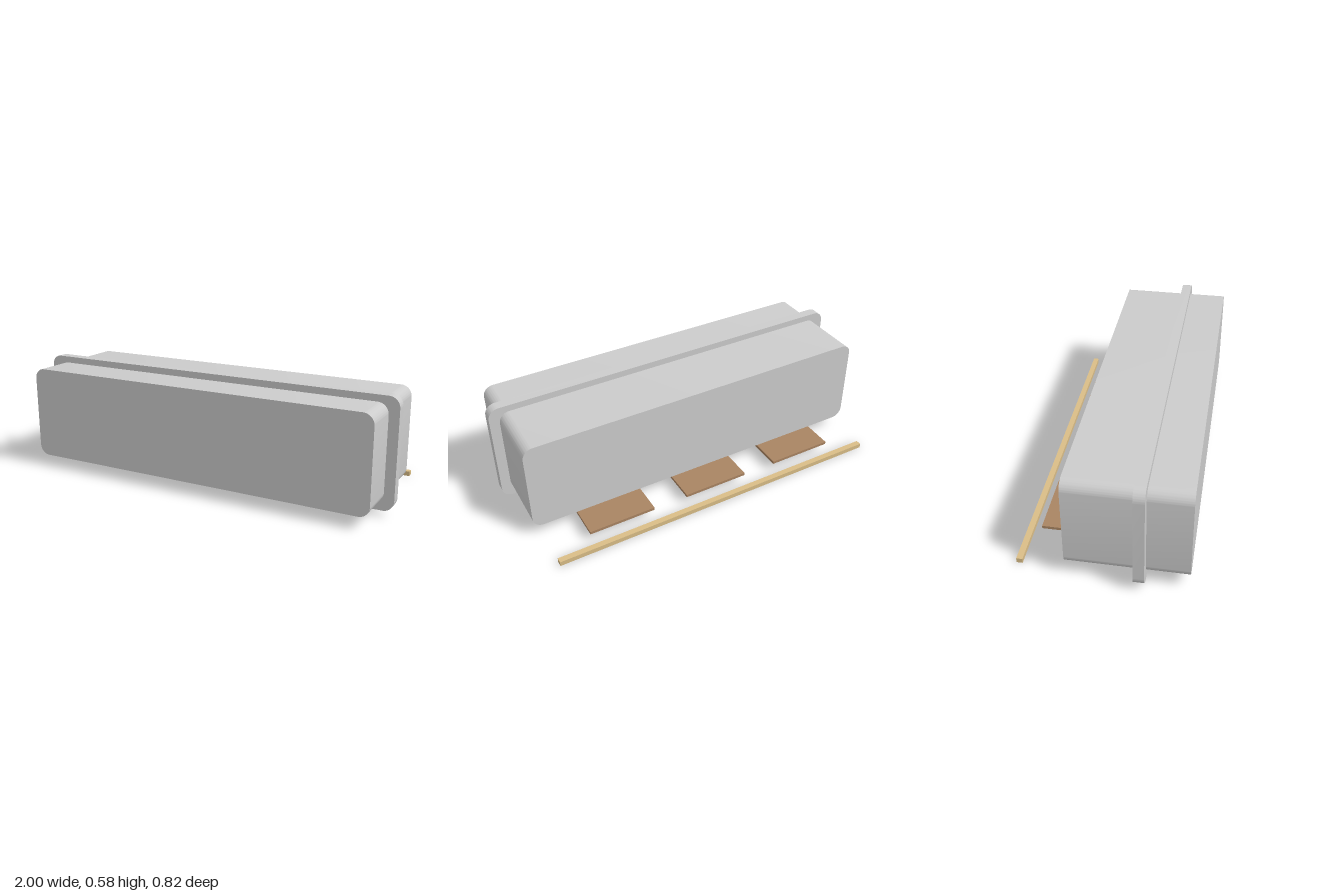
import * as THREE from 'three';
import { toCreasedNormals } from 'three/addons/utils/BufferGeometryUtils.js';

const grey = new THREE.MeshStandardMaterial({ color: 0xcccccc });
const brown = new THREE.MeshStandardMaterial({ color: 0xa98462 });
const tan = new THREE.MeshStandardMaterial({ color: 0xd9bd87 });

// Slab with rounded corners in the xy plane, extruded from z0 to z1
function roundedSlab(name, halfWidth, y0, y1, z0, z1, r) {
  const w = halfWidth;
  const s = new THREE.Shape();
  s.absarc(w - r, y0 + r, r, -Math.PI / 2, 0);
  s.absarc(w - r, y1 - r, r, 0, Math.PI / 2);
  s.absarc(-w + r, y1 - r, r, Math.PI / 2, Math.PI);
  s.absarc(-w + r, y0 + r, r, Math.PI, Math.PI * 1.5);
  const geo = new THREE.ExtrudeGeometry(s, { depth: z1 - z0, bevelEnabled: false, curveSegments: 8 });
  geo.translate(0, 0, z0);
  const mesh = new THREE.Mesh(toCreasedNormals(geo, 0.6), grey);
  mesh.name = name;
  return mesh;
}

// Plain box given by its extents
function box(name, material, x0, x1, y0, y1, z0, z1) {
  const mesh = new THREE.Mesh(new THREE.BoxGeometry(x1 - x0, y1 - y0, z1 - z0), material);
  mesh.position.set((x0 + x1) / 2, (y0 + y1) / 2, (z0 + z1) / 2);
  mesh.name = name;
  return mesh;
}

export function createModel() {
  const model = new THREE.Group();
  model.name = 'roundedCase';

  // Case body and the flange around it
  model.add(roundedSlab('body', 0.949, 0.063, 0.548, -0.171, 0.411, 0.055));
  model.add(roundedSlab('flange', 1, 0.027, 0.582, 0.155, 0.208, 0.055));

  // Three flat tabs under the rear of the body
  ['rightTab', 'middleTab', 'leftTab'].forEach((name, i) => {
    const x = (i - 1) * 0.542;
    model.add(box(name, brown, x - 0.177, x + 0.177, 0.047, 0.062, -0.334, -0.008));
  });

  // Thin rail behind the tabs
  model.add(box('rail', tan, -0.912, 0.912, 0, 0.025, -0.411, -0.381));

  return model;
}
